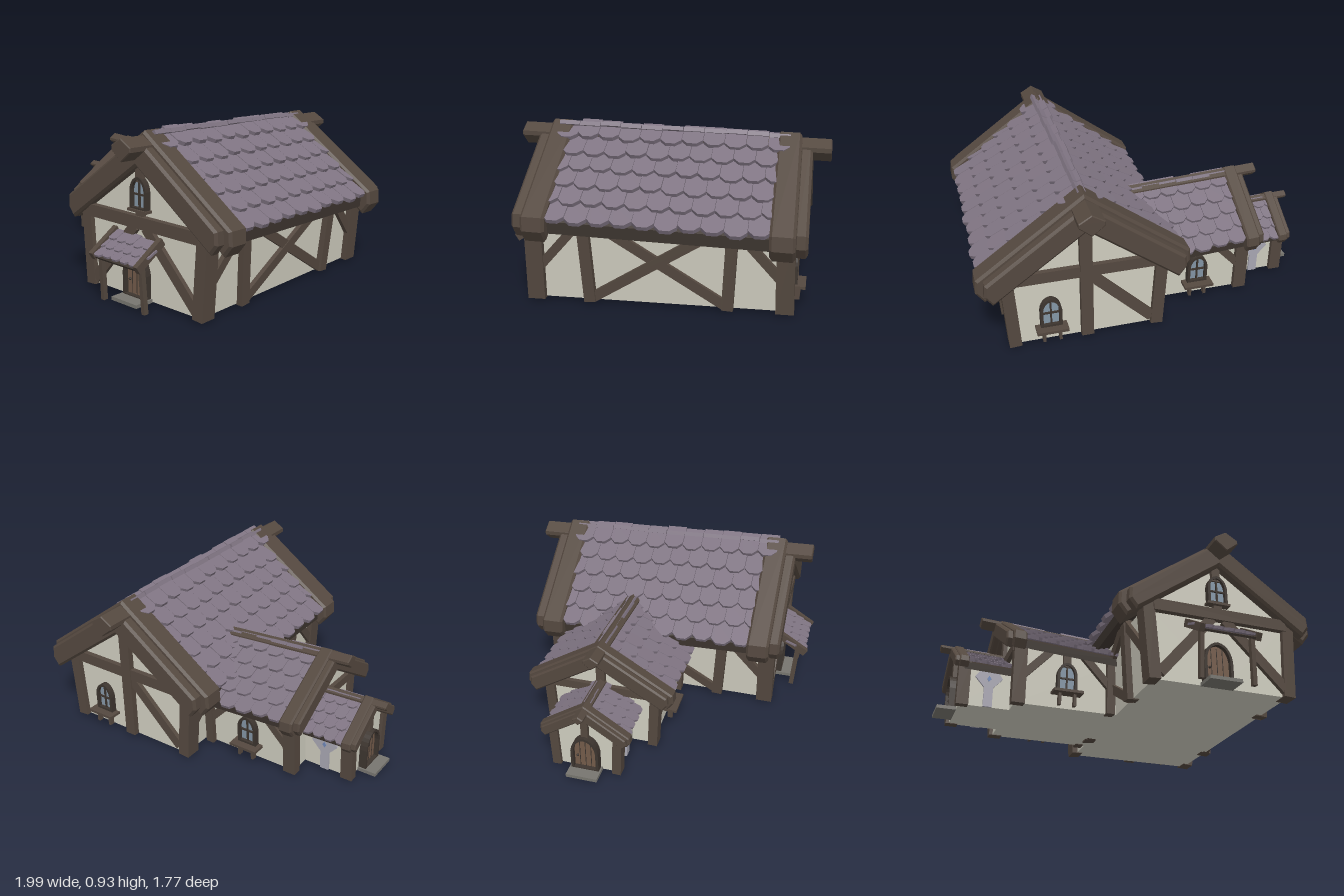
import * as THREE from 'three';
import { mergeGeometries } from 'three/addons/utils/BufferGeometryUtils.js';

const mat = (color) => new THREE.MeshStandardMaterial({ color });
const WOOD = mat(0x54483f), TILE = mat(0x7f7482), WALL = mat(0xcfcdbf), GLASS = mat(0x8496a6);
const DOOR = mat(0x735b4a), DARK = mat(0x3d352f), STONE = mat(0x77756f), PANEL = mat(0xaaa8b4), BLUE = mat(0x7088b8);

let seed = 7;
const rand = () => (seed = (seed * 16807) % 2147483647) / 2147483647 - 0.5;
const V = (x, y, z) => new THREE.Vector3(x, y, z);
const poly = (pts) => new THREE.Shape(pts.map(([x, y]) => new THREE.Vector2(x, y)));
const mirrored = (pts) => [...pts, ...pts.slice().reverse().filter(([x]) => x > 0).map(([x, y]) => [-x, y])];

function add(parent, name, geo, material, x = 0, y = 0, z = 0) {
  const m = new THREE.Mesh(geo, material);
  m.name = name;
  m.position.set(x, y, z);
  parent.add(m);
  return m;
}
const box = (parent, name, material, w, h, d, x, y, z) =>
  add(parent, name, new THREE.BoxGeometry(w, h, d), material, x, y, z);

// Solid from z0 to z1, optionally with chamfered edges
function slab(shape, z0, z1, bevel = 0) {
  const g = new THREE.ExtrudeGeometry(shape, {
    depth: z1 - z0 - 2 * bevel, bevelEnabled: bevel > 0, bevelThickness: bevel,
    bevelSize: bevel, bevelOffset: -bevel, bevelSegments: 1, curveSegments: 6,
  });
  return g.translate(0, 0, z0 + bevel);
}

// Timber lying in the plane of a wall, between two points
function beam(parent, name, x1, y1, x2, y2, w = 0.06, d = 0.05, z = 0) {
  const m = box(parent, name, WOOD, w, Math.hypot(x2 - x1, y2 - y1), d, (x1 + x2) / 2, (y1 + y2) / 2, z);
  m.rotation.z = -Math.atan2(x2 - x1, y2 - y1);
  return m;
}

// Group whose +z points out of a wall
function face(parent, name, yaw, x, z, lean = 0) {
  const g = new THREE.Group();
  g.name = name;
  g.rotation.order = 'YXZ';
  g.rotation.set(lean, yaw, 0);
  g.position.set(x, 0, z);
  parent.add(g);
  return g;
}

function archShape(w, h) {
  const s = new THREE.Shape(), a = w / 2, k = h - w * 0.62;
  s.moveTo(-a, 0); s.lineTo(a, 0); s.lineTo(a, k);
  s.quadraticCurveTo(a * 0.85, h - a * 0.15, 0, h);
  s.quadraticCurveTo(-a * 0.85, h - a * 0.15, -a, k);
  return s;
}
function archFrame(w, h, t, z0, z1) {
  const s = archShape(w, h);
  s.holes.push(new THREE.Path(archShape(w - 2 * t, h - 2 * t).getPoints(6).map((p) => p.add(new THREE.Vector2(0, t)))));
  return slab(s, z0, z1);
}

function windowUnit(parent, x, y, shelf = true) {
  const g = face(parent, 'window', 0, x, 0), w = 0.12, h = 0.18;
  add(g, 'windowFrame', archFrame(w, h, 0.016, -0.02, 0.035), DARK, 0, y);
  add(g, 'windowGlass', slab(archShape(w - 0.02, h - 0.02), -0.02, 0.015), GLASS, 0, y + 0.01);
  box(g, 'mullion', DARK, 0.009, h - 0.02, 0.03, 0, y + h / 2, 0.01);
  box(g, 'crossbar', DARK, w - 0.02, 0.009, 0.03, 0, y + 0.085, 0.01);
  if (!shelf) { box(g, 'windowSill', WOOD, 0.14, 0.014, 0.05, 0, y, 0.02); return; }
  box(g, 'windowShelf', WOOD, 0.175, 0.016, 0.08, 0, y - 0.005, 0.04);
  for (const s of [-1, 1]) box(g, 'shelfLeg', WOOD, 0.016, 0.075, 0.03, s * 0.045, y - 0.045, 0.035);
}

function doorUnit(parent, x, w, h, stepDepth) {
  const g = face(parent, 'door', 0, x, 0);
  add(g, 'doorFrame', archFrame(w, h, 0.016, -0.02, 0.045), DARK, 0, 0.02);
  add(g, 'doorLeaf', slab(archShape(w - 0.02, h - 0.02), -0.02, 0.02), DOOR, 0, 0.03);
  for (let i = -1; i <= 1; i++) box(g, 'plankGap', DARK, 0.004, h * 0.82, 0.01, i * w * 0.2, 0.03 + h * 0.42, 0.017);
  add(g, 'doorKnob', new THREE.SphereGeometry(0.008, 8, 6), DARK, -w * 0.28, h * 0.48, 0.026);
  box(g, 'doorstep', STONE, w + 0.02, 0.02, stepDepth, 0, 0.02, stepDepth / 2);
}

// Rows of overlapping cut-corner shingles; u points up the slope, n outward
function shingles(origin, u, n, run, width, rows, cols) {
  const across = u.clone().cross(n), step = run / rows, w = width / cols, list = [];
  const len = step * 1.35, a = w * 0.49, c = Math.min(w, step) * 0.27;
  const shape = poly([[-a + c, 0], [a - c, 0], [a, c], [a, len], [-a, len], [-a, c]]);
  for (let r = 0; r < rows; r++) {
    const odd = r % 2;
    for (let i = 0; i < cols + odd; i++) {
      const g = slab(shape, 0, step * 0.2).rotateX(-0.17 + rand() * 0.05);
      const p = origin.clone().addScaledVector(u, r * step + rand() * step * 0.14)
        .addScaledVector(across, (i + 0.5 - odd / 2) * w - width / 2).addScaledVector(n, step * 0.17);
      list.push(g.applyMatrix4(new THREE.Matrix4().makeBasis(across, u, n).setPosition(p)));
    }
  }
  return mergeGeometries(list);
}

// Gabled block with ridge along z: walls, corner posts, shingled roof, barge boards, ridge beam
function house(parent, name, o) {
  const g = new THREE.Group();
  g.name = name;
  parent.add(g);
  const { z0, z1, base, top, eave, peak, roof: r } = o;
  add(g, 'walls', slab(poly(mirrored([[0, 0.015], [base, 0.015], [top, eave], [0, peak]])), z0, z1), WALL);
  for (const z of o.ends) {
    for (const s of [-1, 1]) beam(g, 'cornerPost', s * base, 0.01, s * top, eave + 0.02, o.post, o.post * 1.4, z - Math.sign(z) * o.post * 0.3);
  }
  // Everything in the roof leans along the ridge
  const shear = new THREE.Matrix4().makeShear(0, 0, 0, 0, 0, r.lean);
  const put = (part, geo, m) => add(g, part, geo.applyMatrix4(shear), m);
  const drop = r.slope * r.half, h = Math.hypot(r.half, drop), c = r.half / h, s = drop / h;
  const t = r.thick;
  put('roofDeck', slab(poly(mirrored([[0, r.top], [r.half - 0.02, r.top - drop + 0.02 * r.slope],
    [r.half - 0.025, r.top - drop - t], [0, r.top - t]])), r.z0, r.z1), DARK);
  for (const k of [-1, 1]) {
    put('roofShingles', shingles(V(k * r.half, r.top - drop, (r.z0 + r.z1) / 2), V(-k * c, s, 0), V(k * s, c, 0),
      h, r.z1 - r.z0, r.rows, r.cols), TILE);
  }
  for (const [a, b, inset] of o.barges) {
    const q = o.barge, w = q.half - inset, y = q.top - inset * 0.7, thick = q.thick - inset * 0.4;
    put('bargeBoard', slab(poly(mirrored([[0, y], [w, y - w * q.slope], [w + 0.005, y - w * q.slope - thick * 0.45],
      [w - thick * 0.25, y - thick - (w - thick * 0.25) * q.slope], [0, y - thick]])), a, b, q.thick * 0.08), WOOD);
  }
  const [a, b, y, w] = o.ridge;
  put('ridgeBeam', slab(poly(mirrored([[0, y], [w, y - w * 0.6], [w, y - w * 0.95], [0, y - w * 1.75]])), a, b, 0.005), WOOD);
  return g;
}

export function createModel() {
  const root = new THREE.Group();
  root.name = 'timberFramedHouse';

  // Main hall
  const hall = house(root, 'mainHall', {
    z0: -0.69, z1: 0.69, base: 0.4, top: 0.43, eave: 0.45, peak: 0.78, post: 0.068, ends: [-0.69, 0.69],
    roof: { top: 0.87, half: 0.555, slope: 0.77, thick: 0.05, z0: -0.6, z1: 0.58, rows: 6, cols: 10, lean: 0.03 },
    barge: { top: 0.91, half: 0.585, slope: 0.72, thick: 0.17 },
    barges: [[0.56, 0.69, 0], [0.68, 0.75, 0.04], [-0.72, -0.59, 0], [-0.78, -0.71, 0.04]],
    ridge: [-0.88, 0.85, 0.885, 0.07],
  });
  hall.position.x = 0.405;

  const front = face(hall, 'frontGable', 0, 0, 0.69);
  beam(front, 'tieBeam', -0.4, 0.445, 0.41, 0.445, 0.068, 0.07);
  beam(front, 'brace', -0.37, 0.05, -0.05, 0.42);
  beam(front, 'brace', 0.39, 0.05, 0.03, 0.42);
  beam(front, 'kingPost', -0.01, 0.66, -0.01, 0.78, 0.05);
  beam(front, 'kingPost', -0.01, 0.46, -0.01, 0.52, 0.05);
  windowUnit(front, -0.01, 0.51, false);
  doorUnit(front, -0.035, 0.17, 0.245, 0.12);

  const back = face(hall, 'backGable', Math.PI, 0, -0.69);
  beam(back, 'tieBeam', -0.41, 0.43, 0.41, 0.43, 0.065, 0.06);
  beam(back, 'centrePost', 0, 0.015, 0, 0.77, 0.068, 0.07);
  beam(back, 'brace', 0.02, 0.4, 0.37, 0.06);
  windowUnit(back, -0.2, 0.11);

  for (const s of [-1, 1]) {
    const side = face(hall, 'longWall', s * Math.PI / 2, s * 0.4, 0, 0.067);
    for (const k of [-1, 1]) {
      beam(side, 'wallPost', k * 0.37, 0.01, k * 0.4, 0.48, 0.062, 0.07);
      beam(side, 'sideBrace', k * 0.65, 0.19, k * 0.4, 0.47, 0.05);
      beam(side, 'crossBrace', -k * 0.36, 0.03, k * 0.36, 0.47, 0.055, 0.045 + k * 0.004);
    }
  }

  // Porch over the front door
  const porch = face(hall, 'porch', 0, -0.03, 0);
  const dir = V(0, 0.1, -0.16).normalize();
  add(porch, 'porchShingles', shingles(V(0, 0.257, 0.875), dir, V(0, -dir.z, dir.y), 0.18, 0.32, 3, 5), TILE);
  const deck = box(porch, 'porchDeck', DARK, 0.33, 0.012, 0.18, 0, 0.3, 0.795);
  deck.rotation.x = Math.atan2(0.1, 0.16);
  for (const s of [-1, 1]) {
    const rafter = box(porch, 'porchRafter', WOOD, 0.03, 0.045, 0.215, s * 0.168, 0.315, 0.79);
    rafter.rotation.x = Math.atan2(0.1, 0.16);
    const post = beam(porch, 'porchPost', s * 0.155, 0, s * 0.15, 0.27, 0.024, 0.028, 0.82);
    post.rotation.x = 0.07;
  }

  // Side wings run toward -x from the hall, each lower than the last
  const wings = face(root, 'sideWings', -Math.PI / 2, 0, -0.185);
  const wing = house(wings, 'middleWing', {
    z0: -0.03, z1: 0.6, base: 0.3, top: 0.315, eave: 0.35, peak: 0.55, post: 0.055, ends: [0.6],
    roof: { top: 0.585, half: 0.4, slope: 0.65, thick: 0.035, z0: -0.05, z1: 0.58, rows: 5, cols: 6, lean: 0.06 },
    barge: { top: 0.628, half: 0.425, slope: 0.61, thick: 0.115 },
    barges: [[0.57, 0.65, 0], [0.64, 0.685, 0.025]],
    ridge: [-0.07, 0.77, 0.622, 0.045],
  });
  const wingEnd = face(wing, 'wingGable', 0, 0, 0.6);
  beam(wingEnd, 'tieBeam', -0.3, 0.36, 0.3, 0.36, 0.05);
  beam(wingEnd, 'kingPost', 0, 0.36, 0, 0.55, 0.05);
  for (const s of [-1, 1]) {
    const side = face(wing, 'wingWall', s * Math.PI / 2, s * 0.3, 0.305, 0.045);
    for (const k of [-1, 1]) beam(side, 'brace', k * 0.27, 0.17, k * 0.1, 0.35, 0.045);
    beam(side, 'hallPost', s * 0.27, 0.01, s * 0.27, 0.36, 0.05, 0.06);
    beam(side, 'windowHead', 0, 0.26, 0, 0.36, 0.045);
    windowUnit(side, 0, 0.105);
  }

  const annex = house(wings, 'endAnnex', {
    z0: 0.58, z1: 0.89, base: 0.175, top: 0.185, eave: 0.25, peak: 0.37, post: 0.05, ends: [0.89],
    roof: { top: 0.373, half: 0.235, slope: 0.69, thick: 0.025, z0: 0.6, z1: 0.88, rows: 4, cols: 4, lean: 0.04 },
    barge: { top: 0.415, half: 0.255, slope: 0.66, thick: 0.075 },
    barges: [[0.86, 0.915, 0], [0.905, 0.94, 0.015]],
    ridge: [0.6, 1.0, 0.405, 0.03],
  });
  const annexEnd = face(annex, 'annexGable', 0, 0, 0.89);
  beam(annexEnd, 'kingPost', 0, 0.24, 0, 0.37, 0.04);
  doorUnit(annexEnd, 0, 0.16, 0.225, 0.11);
  for (const s of [-1, 1]) {
    const side = face(annex, 'annexWall', s * Math.PI / 2, s * 0.175, 0.73, 0.04);
    add(side, 'wallPanel', slab(poly(mirrored([[0, 0.015], [0.026, 0.015], [0.026, 0.13], [0.08, 0.19], [0.045, 0.24], [0, 0.24]])), -0.01, 0.012), PANEL);
    add(side, 'panelDiamond', slab(poly([[0, 0.165], [0.012, 0.183], [0, 0.201], [-0.012, 0.183]]), 0, 0.016), BLUE);
  }
  return root;
}
